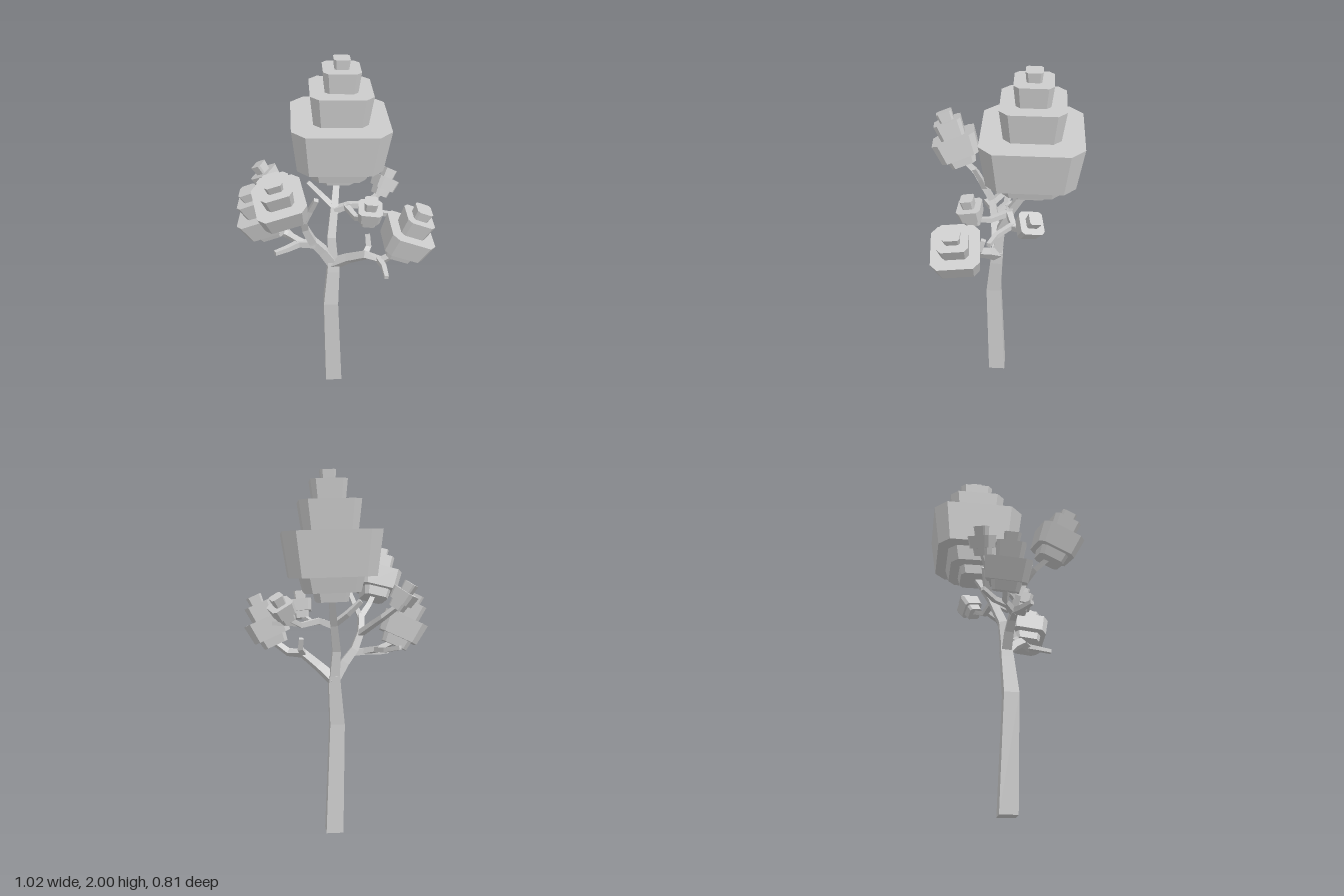
import * as THREE from 'three';

const V = (a) => new THREE.Vector3(...a);
const bark = new THREE.MeshStandardMaterial({ color: 0xcccccc, flatShading: true });
const leaf = new THREE.MeshStandardMaterial({ color: 0xcccccc, flatShading: true });

// Skin a list of equal-sized rings (counter-clockwise seen from the end) and cap both ends
function loft(rings) {
  const n = rings[0].length, pos = [], idx = [];
  rings.forEach((r) => r.forEach((p) => pos.push(p.x, p.y, p.z)));
  for (let k = 0; k < rings.length - 1; k++) {
    for (let i = 0; i < n; i++) {
      const a = k * n + i, b = k * n + (i + 1) % n;
      idx.push(a, b, b + n, a, b + n, a + n);
    }
  }
  const e = (rings.length - 1) * n;
  for (let i = 1; i < n - 1; i++) idx.push(0, i + 1, i, e, e + i, e + i + 1);
  const g = new THREE.BufferGeometry();
  g.setAttribute('position', new THREE.Float32BufferAttribute(pos, 3));
  g.setIndex(idx);
  const flat = g.toNonIndexed();
  flat.computeVertexNormals();
  return flat;
}

// Square-section limb through points [x, y, z, width]
function limb(name, pts) {
  const c = pts.map((p) => V(p.slice(0, 3)));
  const side = new THREE.Vector3(1, 0, 0);
  const rings = c.map((p, i) => {
    const a = c[Math.max(i - 1, 0)], b = c[Math.min(i + 1, c.length - 1)];
    const t = i === 0 && p.y === 0 ? new THREE.Vector3(0, 1, 0) : b.clone().sub(a).normalize();
    if (i === 0 && Math.abs(t.x) > 0.9) side.set(0, 0, 1);
    side.addScaledVector(t, -side.dot(t)).normalize();
    const up = t.clone().cross(side), h = pts[i][3] / 2;
    return [[-1, -1], [1, -1], [1, 1], [-1, 1]].map(([u, v]) =>
      p.clone().addScaledVector(side, u * h).addScaledVector(up, v * h));
  });
  const m = new THREE.Mesh(loft(rings), bark);
  m.name = name;
  return m;
}

// Chamfered square outline in the horizontal plane
function octagon(w, y) {
  const h = w / 2, k = h - w * 0.135;
  return [[h, k], [h, -k], [k, -h], [-k, -h], [-h, -k], [-h, k], [-k, h], [k, h]]
    .map(([x, z]) => new THREE.Vector3(x, y, z));
}

// Tiers of foliage: [bottom, top, width at top]
const LARGE = [[0, 0.06, 0.19], [0.05, 0.135, 0.33], [0.13, 0.36, 0.505],
  [0.36, 0.515, 0.318], [0.515, 0.62, 0.19], [0.62, 0.67, 0.083]];
const MEDIUM = [[0, 0.055, 0.16], [0.05, 0.165, 0.245], [0.165, 0.255, 0.155], [0.255, 0.305, 0.088]];
const SMALL = [[0, 0.045, 0.085], [0.04, 0.105, 0.125], [0.105, 0.155, 0.068]];

function foliage(name, tiers, base, tip, yaw) {
  const g = new THREE.Group();
  g.name = name;
  tiers.forEach(([y0, y1, w]) => {
    const m = new THREE.Mesh(loft([octagon(w * 0.88, y0), octagon(w, y1)]), leaf);
    m.name = 'foliageTier';
    g.add(m);
  });
  const up = new THREE.Vector3(0, 1, 0);
  g.position.copy(V(base));
  g.quaternion.setFromUnitVectors(up, V(tip).sub(V(base)).normalize());
  g.rotateY(yaw);
  return g;
}

export function createModel() {
  const tree = new THREE.Group();
  tree.name = 'tree';

  const limbs = {
    trunk: [[-0.01, 0, 0.025, 0.097], [-0.027, 0.63, 0.042, 0.082], [-0.012, 0.84, 0.025, 0.068], [-0.01, 0.91, 0.018, 0.06]],
    // Middle limb carrying the crown
    centreBranch: [[-0.01, 0.88, 0.02, 0.055], [-0.02, 1.05, 0, 0.046], [0, 1.2, -0.06, 0.04], [0.02, 1.35, -0.15, 0.03]],
    crownTwig: [[0, 1.2, -0.06, 0.03], [-0.07, 1.26, -0.1, 0.028], [-0.14, 1.33, -0.12, 0.022]],
    backBranch: [[0, 1.19, -0.05, 0.035], [0.08, 1.22, -0.05, 0.032], [0.18, 1.2, -0.08, 0.028], [0.25, 1.24, -0.13, 0.024]],
    backTwig: [[0.16, 1.205, -0.07, 0.026], [0.25, 1.2, 0.01, 0.024], [0.33, 1.2, 0.04, 0.022]],
    innerBranch: [[0.06, 1.215, -0.05, 0.03], [0.11, 1.2, 0.05, 0.026], [0.165, 1.24, 0.13, 0.022]],
    // Left limb
    leftBranch: [[-0.01, 0.88, 0.02, 0.055], [0.07, 0.95, 0.07, 0.045], [0.16, 1.02, 0.14, 0.04], [0.24, 1.02, 0.19, 0.035], [0.32, 1.08, 0.2, 0.03]],
    leftFrontTwig: [[0.22, 1.02, 0.18, 0.03], [0.24, 1.02, 0.25, 0.026], [0.245, 1.01, 0.33, 0.022]],
    leftUpperTwig: [[0.15, 1.01, 0.13, 0.032], [0.175, 1.05, 0.1, 0.03], [0.17, 1.11, 0.08, 0.026]],
    // Right limb
    rightBranch: [[-0.01, 0.88, 0.02, 0.055], [-0.07, 0.98, 0.03, 0.048], [-0.125, 1.05, 0.04, 0.042], [-0.165, 1.15, 0.06, 0.036],
      [-0.17, 1.23, 0.1, 0.034], [-0.22, 1.29, 0.15, 0.03], [-0.255, 1.34, 0.215, 0.026]],
    rightUpperTwig: [[-0.17, 1.22, 0.1, 0.03], [-0.135, 1.3, 0.12, 0.026], [-0.105, 1.38, 0.15, 0.022]],
    rightBackBranch: [[-0.16, 1.14, 0.05, 0.032], [-0.22, 1.2, -0.04, 0.03], [-0.26, 1.24, -0.11, 0.027], [-0.33, 1.3, -0.15, 0.024]],
    rightLowBranch: [[-0.11, 1.035, 0.04, 0.04], [-0.2, 1.04, 0.04, 0.034], [-0.26, 1.03, 0.07, 0.028], [-0.33, 1.03, 0.11, 0.022]],
    rightOuterBranch: [[-0.18, 1.04, 0.04, 0.034], [-0.26, 1.06, -0.02, 0.03], [-0.34, 1.1, -0.025, 0.026]],
    rightLowTwig: [[-0.24, 1.055, -0.01, 0.028], [-0.28, 1.06, -0.08, 0.026], [-0.35, 1.08, -0.15, 0.022]],
  };
  for (const [name, pts] of Object.entries(limbs)) tree.add(limb(name, pts));

  tree.add(
    foliage('crownFoliage', LARGE, [0.022, 1.33, -0.157], [0.042, 2, -0.16], 0),
    foliage('leftFoliage', MEDIUM, [0.312, 1.065, 0.19], [0.435, 1.34, 0.21], 0.06),
    foliage('rightFrontFoliage', MEDIUM, [-0.26, 1.325, 0.22], [-0.315, 1.61, 0.33], 0.15),
    foliage('rightOuterFoliage', MEDIUM, [-0.335, 1.08, -0.03], [-0.457, 1.345, -0.01], -0.15),
    foliage('rightBackFoliage', SMALL, [-0.325, 1.29, -0.148], [-0.395, 1.41, -0.165], -0.6),
    foliage('innerFoliage', SMALL, [0.162, 1.22, 0.128], [0.175, 1.37, 0.16], -0.08),
    foliage('leftBackFoliage', SMALL, [0.25, 1.23, -0.13], [0.32, 1.37, -0.195], 0.3),
  );
  return tree;
}
